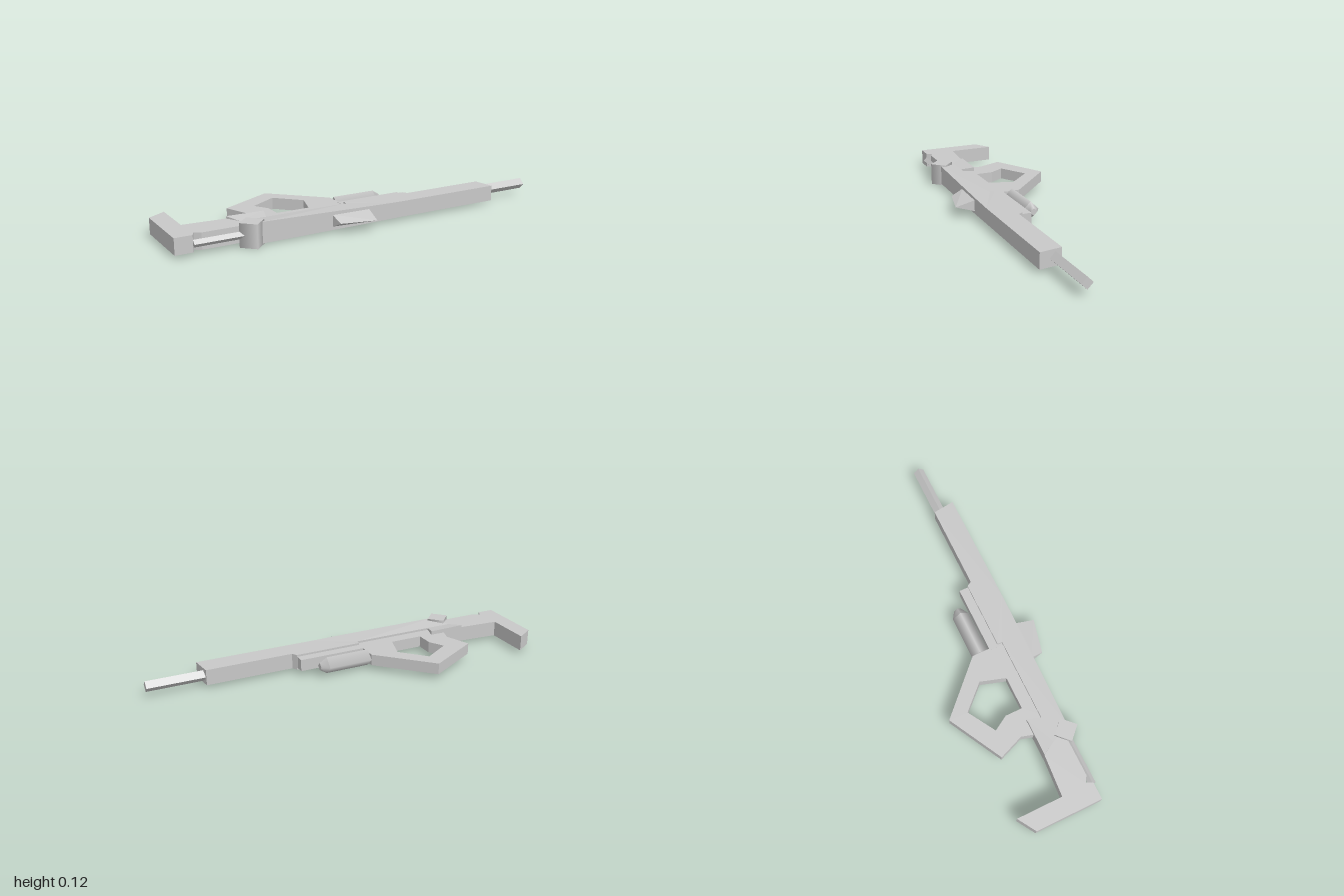
import * as THREE from 'three';
import { ConvexGeometry } from 'three/addons/geometries/ConvexGeometry.js';

const MID = 0.06; // height of the middle plane

export function createModel() {
  const group = new THREE.Group();
  const grey = new THREE.MeshStandardMaterial({ color: 0xc8c8c8 });
  grey.name = 'light grey';

  const add = (name, geometry) => {
    const mesh = new THREE.Mesh(geometry, grey);
    mesh.name = name;
    group.add(mesh);
  };

  // Flat plate: outline in x/z, thickness along y, centred on the middle plane
  const toVec = ([x, z]) => new THREE.Vector2(x, -z);
  const plate = (outline, half, hole) => {
    const shape = new THREE.Shape(outline.map(toVec));
    if (hole) shape.holes.push(new THREE.Path(hole.map(toVec)));
    const g = new THREE.ExtrudeGeometry(shape, { depth: half * 2, bevelEnabled: false });
    return g.rotateX(-Math.PI / 2).translate(0, MID - half, 0);
  };

  // Plate that thickens towards the rear and away from the line z = 0.1
  const swollenPlate = (outline) => {
    const g = plate(outline, 0.04);
    const p = g.attributes.position;
    for (let i = 0; i < p.count; i++) {
      const rear = (0.13 - p.getX(i)) / 0.7;
      const side = Math.min(1, Math.abs(p.getZ(i) - 0.1) / 0.08);
      p.setY(i, p.getY(i) + Math.sign(p.getY(i) - MID) * 0.011 * rear * side);
    }
    g.computeVertexNormals();
    return g;
  };

  // Four-sided rod along x with ridges up, down, front and back
  const rod = (x0, x1, z, r0, r1 = r0) =>
    new THREE.CylinderGeometry(r1, r0, x1 - x0, 4)
      .rotateZ(-Math.PI / 2)
      .translate((x0 + x1) / 2, MID, z);

  const faceted = (geometry) => {
    const g = geometry.toNonIndexed();
    g.computeVertexNormals();
    return g;
  };

  // Shoulder stock with raised butt
  add('stock', plate([
    [-1, -0.165], [-0.91, -0.222], [-0.91, 0.015], [-0.7, 0.03], [-0.56, 0.03],
    [-0.6, 0.165], [-0.87, 0.165], [-0.9, 0.145], [-0.915, 0.178], [-1, 0.178],
  ], 0.04));

  // Receiver and the raised collar behind the ring handle
  add('receiver', swollenPlate([
    [-0.66, 0.1], [-0.1, 0.1], [-0.1, 0.075], [0.13, 0.075], [0.13, 0.212], [-0.03, 0.21], [-0.61, 0.195],
  ]));
  add('collar', swollenPlate([[-0.7, 0.03], [-0.51, 0.03], [-0.53, 0.1], [-0.66, 0.1]]));

  // Long fore-end
  add('foreEnd', plate([
    [0.13, 0.075], [0.25, 0.075], [0.265, 0.1], [0.712, 0.1], [0.727, 0.212], [0.13, 0.212],
  ], 0.04));

  // Angular ring handle; the hole runs the opposite way round
  add('ringHandle', plate(
    [[-0.347, -0.307], [-0.1, -0.063], [-0.1, 0.11], [-0.52, 0.11], [-0.59, 0.04], [-0.57, -0.03], [-0.62, -0.157]],
    0.029,
    [[-0.49, -0.125], [-0.445, -0.05], [-0.445, 0.038], [-0.275, 0.038], [-0.235, -0.09], [-0.35, -0.21]],
  ));

  // Rail block beneath the canister
  add('railBlock', plate([[-0.11, 0.028], [0.247, 0.028], [0.247, 0.09], [-0.11, 0.09]], 0.03));

  // Canister with tapered nose
  add('canister', rod(-0.1, 0.13, -0.022, 0.043));
  add('canisterNose', rod(0.13, 0.168, -0.022, 0.043, 0.019));

  // Barrel and the thin rod linking stock and hinge
  add('barrel', faceted(rod(0.7, 1, 0.133, 0.028)));
  add('linkRod', faceted(rod(-0.915, -0.66, 0.178, 0.018)));

  // Upright four-sided hinge post, softly shaded
  add('hinge', new THREE.CylinderGeometry(0.062, 0.062, 0.116, 4).translate(-0.637, MID, 0.177));

  // Wedge-shaped foregrip, its ridge sloping outwards towards the muzzle
  const corners = [
    [-0.235, 0.03, 0.2], [-0.235, 0.09, 0.2], [-0.225, MID, 0.265],
    [-0.035, 0.03, 0.206], [-0.035, 0.09, 0.206], [-0.05, MID, 0.306],
  ];
  add('foregrip', new ConvexGeometry(corners.map((c) => new THREE.Vector3(...c))));

  return group;
}
